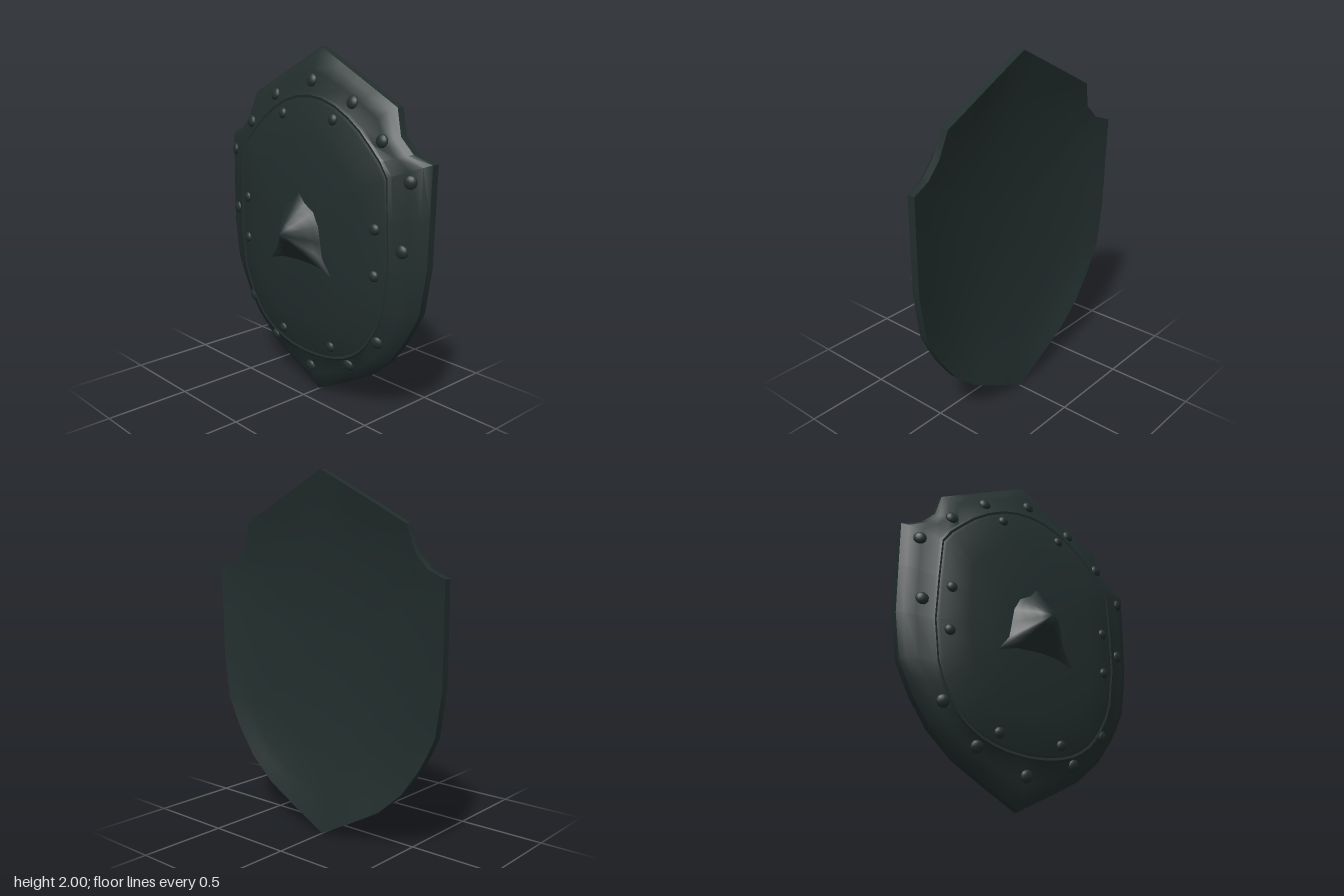
import * as THREE from 'three';
import { toCreasedNormals } from 'three/addons/utils/BufferGeometryUtils.js';

// Right half of the rim, top to bottom: [outline x, y, z offset, inner oval x, y]
const HALF = [
  [0, 2, 0, 0, 1.75], [0.14, 1.93, 0, 0.1, 1.74], [0.28, 1.86, 0, 0.2, 1.71],
  [0.418, 1.79, 0, 0.3, 1.658], [0.556, 1.72, 0, 0.39, 1.595],
  [0.6, 1.58, 0.018, 0.47, 1.52], [0.68, 1.5, 0.012, 0.535, 1.455], [0.79, 1.46, -0.005, 0.585, 1.38],
  [0.787, 1.2, -0.002, 0.597, 1.15], [0.783, 0.925, 0, 0.605, 0.9], [0.746, 0.675, 0, 0.575, 0.67],
  [0.7, 0.58, 0, 0.542, 0.58], [0.65, 0.49, 0, 0.5, 0.505], [0.598, 0.418, 0, 0.457, 0.44],
  [0.545, 0.345, 0, 0.41, 0.388], [0.471, 0.28, 0, 0.352, 0.345], [0.397, 0.215, 0, 0.29, 0.312],
  [0.299, 0.16, 0, 0.215, 0.287], [0.2, 0.105, 0, 0.14, 0.271], [0.1, 0.053, 0, 0.07, 0.263],
  [0, 0, 0, 0, 0.26],
];

// Spike base, right half: [x, y]
const SPIKE = [
  [0, 1.23], [0.05, 1.175], [0.12, 1.135], [0.16, 1.06], [0.175, 0.97],
  [0.19, 0.88], [0.25, 0.795], [0.14, 0.825], [0, 0.83],
];

// Close a half contour by mirroring it across x = 0
const mirror = (half, flip) => half.concat(half.slice(1, -1).reverse().map(flip));

// Skin a stack of closed rings, each an array of Vector3
function skin(rings, crease) {
  const pos = [];
  const tri = (a, b, c) => {
    if (new THREE.Triangle(a, b, c).getArea() < 1e-9) return;
    for (const p of [a, b, c]) pos.push(p.x, p.y, p.z);
  };
  for (let r = 0; r < rings.length - 1; r++) {
    const a = rings[r], b = rings[r + 1];
    for (let i = 0; i < a.length; i++) {
      const j = (i + 1) % a.length;
      tri(a[i], b[i], a[j]);
      tri(a[j], b[i], b[j]);
    }
  }
  const g = new THREE.BufferGeometry();
  g.setAttribute('position', new THREE.Float32BufferAttribute(pos, 3));
  return toCreasedNormals(g, crease);
}

export function createModel() {
  const group = new THREE.Group();
  const metal = new THREE.MeshStandardMaterial({ color: 0x222e2d });
  metal.name = 'dark green metal';
  const add = (name, geometry) => {
    const m = new THREE.Mesh(geometry, metal);
    m.name = name;
    group.add(m);
    return m;
  };

  // Shield shell: t blends outline to oval, s shrinks the oval to the centre
  const contour = mirror(HALF, ([x, y, dz, ox, oy]) => [-x, y, dz, -ox, oy]);
  const ring = (t, s, z) => contour.map(([x, y, dz, ox, oy]) => new THREE.Vector3(
    THREE.MathUtils.lerp(x, ox, t) * s,
    1 + (THREE.MathUtils.lerp(y, oy, t) - 1) * s,
    z + dz * (1 - t)));
  const body = add('shieldBody', skin([
    // shallow dished back, from the centre out
    [1, 0, -0.073], [1, 0.25, -0.076], [1, 0.5, -0.086], [1, 0.75, -0.104], [1, 1, -0.128], [0.5, 1, -0.15],
    // edge
    [0, 1, -0.172], [0, 1, -0.128],
    // front rim, ridge and domed panel
    [0.17, 1, -0.098], [0.47, 1, -0.068], [0.92, 1, -0.047], [1, 1, -0.034], [1, 0.98, -0.037],
    [1, 0.96, -0.03], [1, 0.7, 0.004], [1, 0.4, 0.03], [1, 0, 0.042],
  ].map(a => ring(...a)), 0.6));

  // Three-cornered spike
  const base = mirror(SPIKE, ([x, y]) => [-x, y]);
  const spikeRing = (s, z) => base.map(([x, y]) => {
    // inner rings round off towards a cone
    const d = Math.hypot(x, y - 1.01), k = s * THREE.MathUtils.lerp(0.2 / d, 1, s);
    return new THREE.Vector3(x * k, 1.01 + (y - 1.01) * k, z);
  });
  add('centreSpike', skin([
    spikeRing(1, 0.029), spikeRing(0.8, 0.056), spikeRing(0.55, 0.094),
    spikeRing(0.25, 0.14), spikeRing(0, 0.178),
  ], 2));

  // Domed rivets, seated on the front surface
  const dome = new THREE.SphereGeometry(1, 12, 5, 0, Math.PI * 2, 0, Math.PI / 2);
  const ray = new THREE.Raycaster();
  const up = new THREE.Vector3(0, 1, 0);
  const rivets = (name, list, radius) => {
    for (const [px, y] of list) {
      for (const x of px ? [px, -px] : [0]) {
        ray.set(new THREE.Vector3(x + 0.0007, y + 0.0007, 1), new THREE.Vector3(0, 0, -1));
        const hit = ray.intersectObject(body)[0];
        const m = add(name, dome);
        m.position.set(x, y, hit.point.z - 0.004);
        m.quaternion.setFromUnitVectors(up, hit.face.normal);
        m.scale.set(radius, 0.022, radius);
      }
    }
  };
  rivets('rimRivet', [[0, 1.825], [0.305, 1.73], [0.52, 1.555], [0.7, 1.37],
    [0.67, 1.01], [0.52, 0.475], [0.31, 0.275], [0, 0.17]], 0.037);
  rivets('panelRivet', [[0.2, 1.635], [0.52, 1.105], [0.52, 0.855], [0.2, 0.36]], 0.032);

  return group;
}
